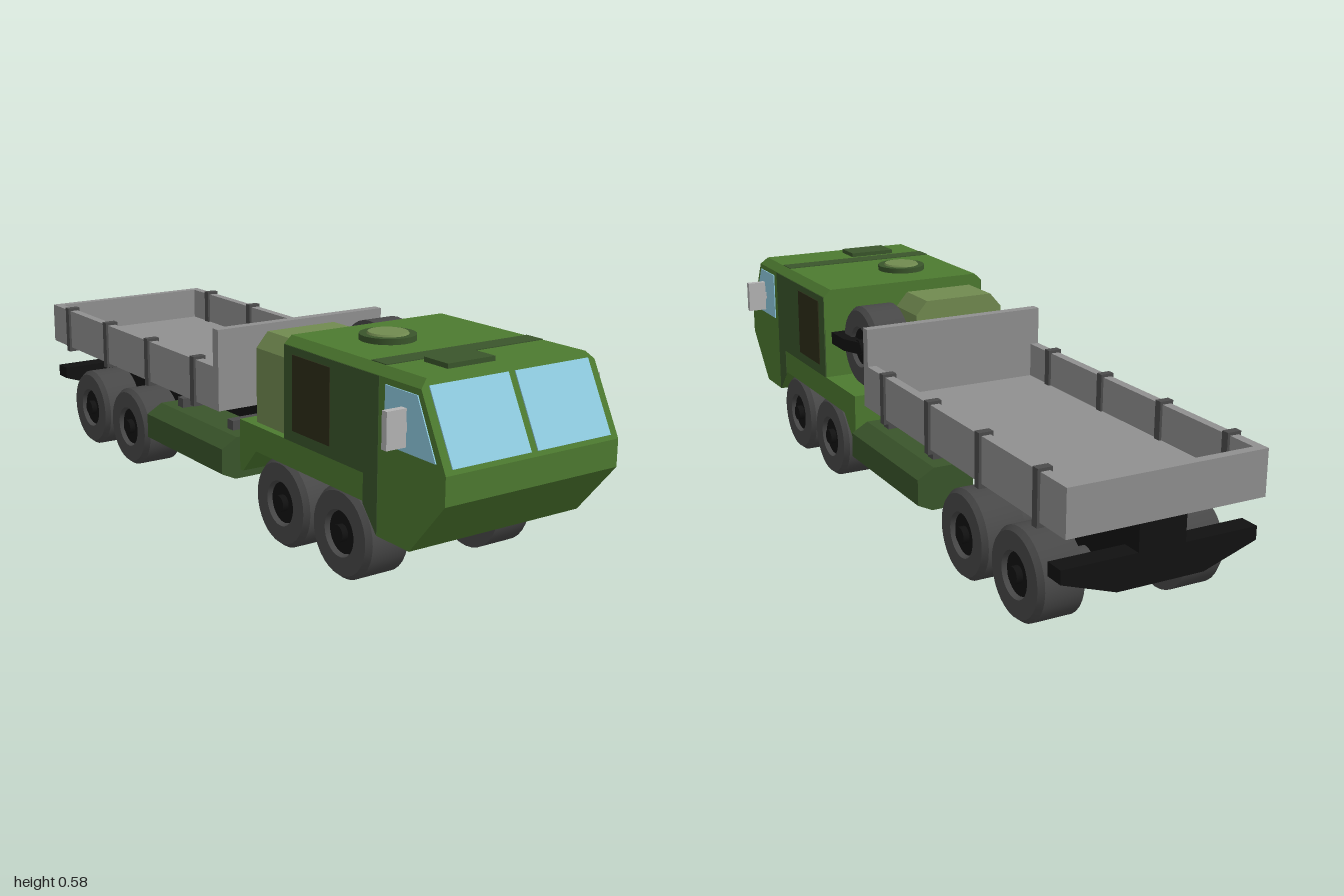
import * as THREE from 'three';
import { toCreasedNormals } from 'three/addons/utils/BufferGeometryUtils.js';

const mat = (color) => new THREE.MeshStandardMaterial({ color });
const green = mat(0x4d7a30), darkGreen = mat(0x3a552b), olive = mat(0x718a50);
const black = mat(0x111111), tyreGrey = mat(0x484848), bedGrey = mat(0x909090);
const stakeGrey = mat(0x4c4c4c), mirrorGrey = mat(0xb4b4b4), glass = mat(0x8fcbe0), grille = mat(0x2c2c18);

export function createModel() {
  const model = new THREE.Group();

  const add = (name, geometry, material, x = 0, y = 0, z = 0) => {
    const mesh = new THREE.Mesh(geometry, material);
    mesh.name = name;
    mesh.position.set(x, y, z);
    model.add(mesh);
    return mesh;
  };

  // Box given by its ranges on the three axes
  const box = (name, material, [x0, x1], [y0, y1], [z0, z1]) =>
    add(name, new THREE.BoxGeometry(x1 - x0, y1 - y0, z1 - z0), material,
      (x0 + x1) / 2, (y0 + y1) / 2, (z0 + z1) / 2);

  // Skin through [x, profile] layers; profiles are counter-clockwise [z, y] points
  const loft = (layers) => {
    const pos = [];
    const put = (x, p) => pos.push(x, p[1], p[0]);
    for (let i = 0; i + 1 < layers.length; i++) {
      const [x0, a] = layers[i], [x1, b] = layers[i + 1];
      a.forEach((p, k) => {
        const n = (k + 1) % a.length;
        put(x0, p); put(x1, b[k]); put(x1, b[n]);
        put(x0, p); put(x1, b[n]); put(x0, a[n]);
      });
    }
    const cap = ([x, profile], flip) => {
      const pts = profile.map(([z, y]) => new THREE.Vector2(z, y));
      for (const f of THREE.ShapeUtils.triangulateShape(pts, []))
        for (const k of flip ? [f[0], f[2], f[1]] : f) put(x, profile[k]);
    };
    cap(layers[0], false);
    cap(layers[layers.length - 1], true);
    const g = new THREE.BufferGeometry();
    g.setAttribute('position', new THREE.Float32BufferAttribute(pos, 3));
    g.computeVertexNormals();
    return g;
  };

  // Thin side panel on both flanks
  const sidePanels = (name, material, x0, x1, profile) => {
    add(name + 'Left', loft([[x0, profile], [x1, profile]]), material);
    add(name + 'Right', loft([[-x1, profile], [-x0, profile]]), material);
  };

  // Prism of an [x, y] outline between two z values
  const prismZ = (name, material, pts, z0, z1) => {
    const shape = new THREE.Shape(pts.map((p) => new THREE.Vector2(...p)));
    return add(name, new THREE.ExtrudeGeometry(shape, { depth: z1 - z0, bevelEnabled: false }), material, 0, 0, z0);
  };

  // Cab with rear deck, wheel arches and chamfered roof edges
  const arched = [
    [0.155, 0.16], [0.17, 0.16], [0.235, 0.23], [0.70, 0.23], [0.76, 0.16], [0.88, 0.16],
    [1.0, 0.30], [1.0, 0.37], [0.90, 0.565], [0.37, 0.565], [0.37, 0.30], [0.155, 0.30],
  ];
  const flat = arched.map(([z, y]) => [z, y === 0.23 ? 0.16 : y]);
  const lowered = arched.map(([z, y]) => (y === 0.565 ? [z === 0.9 ? 0.91 : z, 0.545] : [z, y]));
  add('cab', loft([
    [-0.262, lowered], [-0.24, arched], [-0.14, arched], [-0.14, flat],
    [0.14, flat], [0.14, arched], [0.24, arched], [0.262, lowered],
  ]), green);

  // Cab side panels, grilles and windows
  sidePanels('sidePanel', darkGreen, 0.26, 0.2635,
    [[0.76, 0.16], [0.76, 0.544], [0.37, 0.544], [0.37, 0.30], [0.705, 0.30], [0.705, 0.225]]);
  sidePanels('sideGrille', grille, 0.26, 0.266, [[0.41, 0.33], [0.57, 0.33], [0.57, 0.525], [0.41, 0.525]]);
  sidePanels('sideWindow', glass, 0.26, 0.265, [[0.785, 0.39], [0.968, 0.39], [0.90, 0.53], [0.785, 0.53]]);
  for (const s of [-1, 1]) {
    const pane = add('windshield', new THREE.BoxGeometry(0.23, 0.19, 0.006), glass, s * 0.125, 0.465, 0.951);
    pane.rotation.x = -Math.atan2(0.1, 0.195);
    box('mirror', mirrorGrey, s > 0 ? [0.27, 0.325] : [-0.325, -0.27], [0.405, 0.495], [0.853, 0.871]);
    box('mirrorArm', mirrorGrey, s > 0 ? [0.26, 0.275] : [-0.275, -0.26], [0.44, 0.46], [0.857, 0.867]);
  }

  // Roof stripe, hatch and vent
  box('roofStripe', darkGreen, [-0.24, 0.24], [0.56, 0.567], [0.70, 0.757]);
  box('roofVent', darkGreen, [-0.147, -0.006], [0.56, 0.577], [0.775, 0.86]);
  add('hatchRing', new THREE.CylinderGeometry(0.072, 0.072, 0.02, 24), darkGreen, -0.07, 0.57, 0.54);
  add('hatchLid', new THREE.CylinderGeometry(0.05, 0.054, 0.006, 24), olive, -0.07, 0.582, 0.54);

  // Engine housing on the deck
  prismZ('engineHousing', olive, [
    [-0.24, 0.30], [0.04, 0.30], [0.04, 0.50], [0.005, 0.54], [-0.205, 0.54], [-0.24, 0.50],
  ], 0.205, 0.34);

  // Wheels with recessed hubs, axis along x
  const tyreProfile = [[0, -0.06], [0.118, -0.06], [0.118, 0.046], [0.107, 0.06], [0.06, 0.06], [0.055, 0.042], [0, 0.042]];
  const tyreGeo = toCreasedNormals(
    new THREE.LatheGeometry(tyreProfile.map((p) => new THREE.Vector2(...p)), 32), 0.5);
  const hubGeo = new THREE.CylinderGeometry(0.054, 0.056, 0.008, 32).translate(0, 0.044, 0);
  const capGeo = new THREE.CylinderGeometry(0.022, 0.022, 0.024, 16).translate(0, 0.053, 0);
  const wheel = (name, side, x, y, z) => {
    const g = new THREE.Group();
    g.name = name;
    for (const [n, geo, m] of [['tyre', tyreGeo, tyreGrey], ['hub', hubGeo, black], ['hubCap', capGeo, black]]) {
      const mesh = new THREE.Mesh(geo, m);
      mesh.name = n;
      g.add(mesh);
    }
    g.rotation.z = -side * Math.PI / 2;
    g.position.set(x, y, z);
    model.add(g);
    return g;
  };
  for (const z of [0.61, 0.35, -0.50, -0.765])
    for (const s of [-1, 1]) {
      wheel('wheel', s, s * 0.2025, 0.12, z);
      const shaft = add('axle', new THREE.CylinderGeometry(0.032, 0.032, 0.125, 20), tyreGrey, s * 0.0825, 0.122, z);
      shaft.rotation.z = Math.PI / 2;
    }

  // Spare wheel and its carrier
  wheel('spareWheel', 1, 0.155, 0.42, 0.235).scale.y = 0.92;
  const carrier = [[0.08, -0.37], [0.24, -0.37], [0.24, -0.28], [0.215, -0.22], [0.08, -0.22]];
  add('spareCarrier', new THREE.ExtrudeGeometry(
    new THREE.Shape(carrier.map((p) => new THREE.Vector2(...p))), { depth: 0.035, bevelEnabled: false },
  ).rotateX(-Math.PI / 2), black, 0, 0.402, 0);

  // Chassis and rear bumper
  box('chassis', black, [-0.065, 0.065], [0.135, 0.315], [-0.98, 0.18]);
  prismZ('rearBumper', black, [
    [-0.27, 0.185], [-0.12, 0.135], [0.12, 0.135], [0.27, 0.185], [0.27, 0.22], [-0.27, 0.22],
  ], -0.98, -0.925);

  // Side lockers with chamfered outer edges, and the brackets over them
  for (const s of [-1, 1]) {
    const pts = [[0.13, 0.118], [0.25, 0.118], [0.292, 0.138], [0.292, 0.208], [0.245, 0.235], [0.13, 0.235]];
    prismZ('sideLocker', darkGreen, pts.map(([x, y]) => [s * x, y]), -0.315, 0.11);
    for (const z of [0.035, -0.245])
      box('lockerBracket', stakeGrey, s > 0 ? [0.06, 0.22] : [-0.22, -0.06], [0.23, 0.262], [z - 0.015, z + 0.015]);
  }

  // Cargo bed
  box('bedFloor', bedGrey, [-0.272, 0.272], [0.30, 0.325], [-1, 0.06]);
  box('tailboard', bedGrey, [-0.272, 0.272], [0.30, 0.42], [-1, -0.975]);
  box('headboard', bedGrey, [-0.272, 0.272], [0.30, 0.525], [0.035, 0.063]);
  for (const s of [-1, 1]) {
    box('sideboard', bedGrey, s > 0 ? [0.247, 0.272] : [-0.272, -0.247], [0.30, 0.42], [-1, 0.06]);
    for (const z of [-0.07, -0.34, -0.61, -0.88])
      box('stake', stakeGrey, s > 0 ? [0.24, 0.279] : [-0.279, -0.24], [0.287, 0.428], [z - 0.011, z + 0.011]);
  }
  return model;
}
